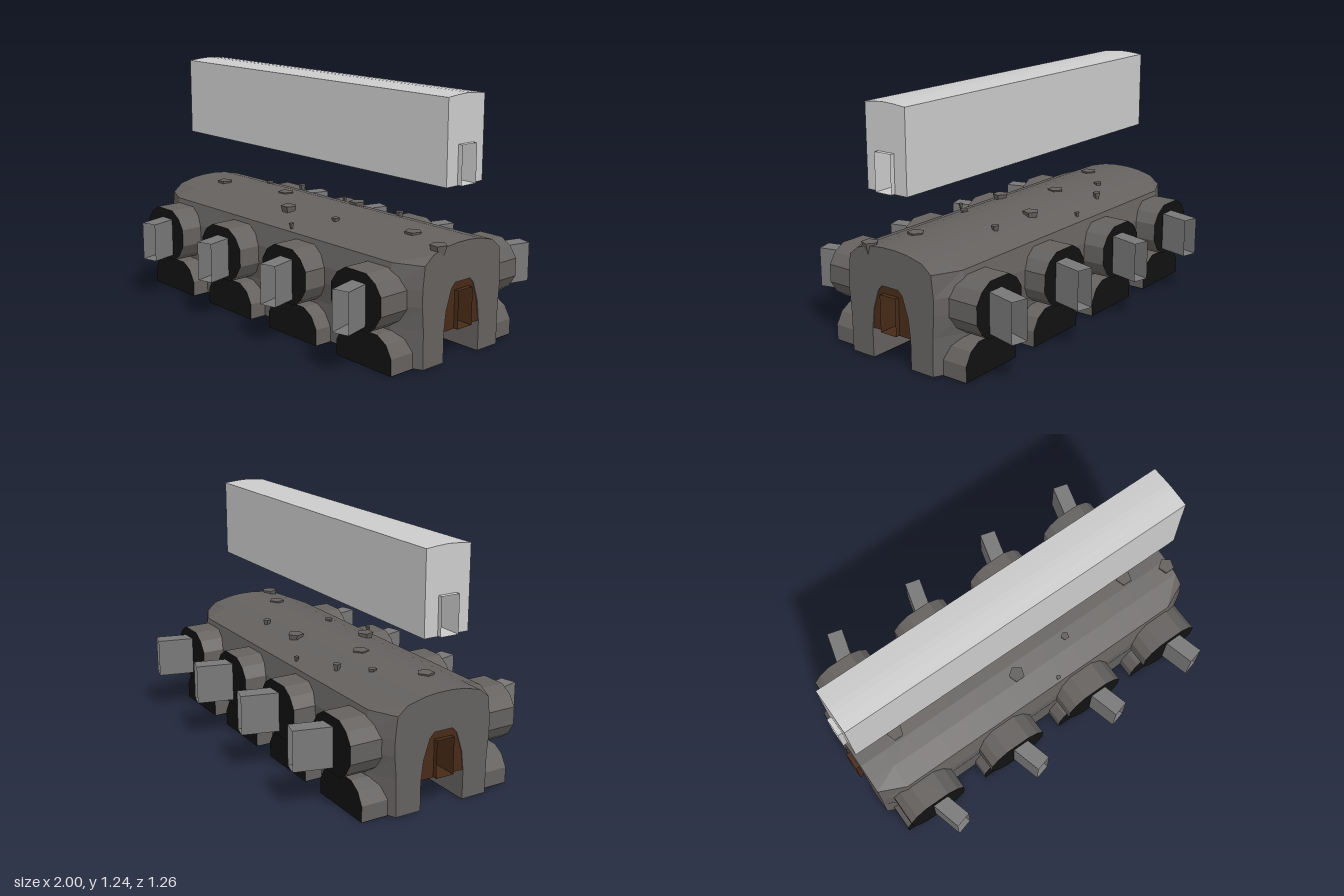
import * as THREE from 'three';

const mat = (color, extra = {}) => new THREE.MeshStandardMaterial({ color, flatShading: true, ...extra });
const MID = 0.0135; // centre line of the hull in z

export function createModel() {
  const root = new THREE.Group();
  const stone = mat(0x64615f);
  const black = mat(0x111111);
  const brown = mat(0x472a17);
  const pale = mat(0xcccccc);
  const steel = mat(0x787878, { side: THREE.DoubleSide });
  const brownThin = mat(0x472a17, { side: THREE.DoubleSide });
  const paleThin = mat(0xcccccc, { side: THREE.DoubleSide });

  const add = (name, geo, material, parent = root) => {
    const m = new THREE.Mesh(geo, material);
    m.name = name;
    parent.add(m);
    return m;
  };
  const toShape = (pts) => new THREE.Shape(pts.map(([a, b]) => new THREE.Vector2(a, b)));
  // mirrors half of an outline [a, y] to the other side
  const mirror = (half) => [...half, ...half.slice().reverse().map(([a, y]) => [-a, y])];
  // extrudes a (z, y) section along x, centred on x = 0
  const alongX = (shape, length, steps = 1) =>
    new THREE.ExtrudeGeometry(shape, { depth: length, steps, bevelEnabled: false })
      .translate(0, 0, -length / 2).rotateY(Math.PI / 2);
  // thin rectangular sleeve along z, open at both ends
  const sleeve = (w, h, length) =>
    new THREE.CylinderGeometry(Math.SQRT1_2, Math.SQRT1_2, length, 4, 1, true)
      .rotateY(Math.PI / 4).rotateX(Math.PI / 2).scale(w, h, 1);

  // hull: vaulted section with an arched channel, tapered at both ends
  const hullHalf = [[0.12, 0.002], [0.32, 0.002], [0.325, 0.19], [0.345, 0.3], [0.345, 0.38],
    [0.318, 0.49], [0.2, 0.533], [0.11, 0.555], [0.04, 0.562]];
  const archHalf = [[0.05, 0.375], [0.075, 0.35], [0.108, 0.25], [0.12, 0.15]];
  const outline = [...hullHalf, ...hullHalf.slice().reverse().map(([a, y]) => [-a, y]),
    ...archHalf.slice().reverse().map(([a, y]) => [-a, y]), ...archHalf];
  const hullGeo = alongX(toShape(outline), 1.96, 14);
  const p = hullGeo.attributes.position;
  for (let i = 0; i < p.count; i++) {
    const d = Math.abs(p.getZ(i));
    if (Math.abs(p.getX(i)) > 0.97 && d > 0.2) {
      p.setZ(i, Math.sign(p.getZ(i)) * (0.2 + (d - 0.2) * 0.45));
    }
  }
  hullGeo.computeVertexNormals();
  add('hull', hullGeo, stone).position.z = MID;

  // dark soles under both halves of the hull
  for (const s of [-1, 1]) {
    add('sole', new THREE.BoxGeometry(1.94, 0.002, 0.13), black).position.set(0, 0.001, MID + s * 0.185);
    add('soleEdge', new THREE.BoxGeometry(1.7, 0.002, 0.07), black).position.set(0, 0.001, MID + s * 0.285);
  }

  // doorway opening shared by the passage and the upper block
  const doorHole = (y0) => new THREE.Path([[-0.048, y0 + 0.002], [0.048, y0 + 0.002],
    [0.048, y0 + 0.188], [-0.048, y0 + 0.188]].map(([a, y]) => new THREE.Vector2(a, y)));
  const hollowBlock = (name, half, y0, z, material, thin) => {
    const shape = toShape(mirror(half));
    shape.holes.push(doorHole(y0));
    add(name, alongX(shape, 1.95), material).position.z = z;
    const liner = add(name + 'DoorLiner', sleeve(0.096, 0.186, 2).rotateY(Math.PI / 2), thin);
    liner.position.set(0, y0 + 0.095, z);
  };
  hollowBlock('passage', [...archHalf].reverse(), 0.15, MID, brown, brownThin);
  hollowBlock('upperBlock', [[0.12, 0.825], [0.12, 1.229], [0.06, 1.235], [0.015, 1.238]],
    0.825, 0.015, pale, paleThin);

  // turrets, feet and gun ports on both long sides
  const turretShape = toShape([[0.075, -0.135], [0.125, -0.1], [0.1625, -0.04], [0.1625, 0.05],
    [0.125, 0.105], [0.068, 0.14], [-0.068, 0.14], [-0.125, 0.105], [-0.1625, 0.05],
    [-0.1625, -0.04], [-0.125, -0.1], [-0.075, -0.135]]);
  const footShape = toShape(mirror([[0.18, 0.002], [0.18, 0.08], [0.145, 0.14], [0.09, 0.172]]));
  const stub = (shape, length) =>
    new THREE.ExtrudeGeometry(shape, { depth: length, bevelEnabled: false });
  const turretGeo = stub(turretShape, 0.2);
  const footGeo = stub(footShape, 0.18);
  const gunGeos = { '1': sleeve(0.085, 0.2, 0.23), '-1': sleeve(0.085, 0.2, 0.29) };
  for (const s of [1, -1]) {
    for (const x of [-0.76, -0.255, 0.25, 0.755]) {
      const station = new THREE.Group();
      station.name = s > 0 ? 'frontGunStation' : 'backGunStation';
      station.position.x = x;
      root.add(station);

      const turret = add('turret', turretGeo, [black, stone], station);
      turret.position.set(0, 0.325, MID + s * 0.2625);
      const foot = add('foot', footGeo, [black, stone], station);
      foot.position.set(0, 0, MID + s * 0.232);
      turret.rotation.y = foot.rotation.y = s > 0 ? 0 : Math.PI;
      add('footSole', new THREE.BoxGeometry(0.36, 0.002, 0.18), black, station)
        .position.set(0, 0.001, MID + s * 0.322);

      // hollow gun, yawed towards the model's left
      const yaw = THREE.MathUtils.degToRad(15);
      const len = s > 0 ? 0.23 : 0.29;
      const gun = add('gun', gunGeos[s], steel, station);
      gun.rotation.y = s * yaw;
      gun.position.set(Math.sin(yaw) * len / 2, 0.316,
        (s > 0 ? 0.4 : -0.34) + s * Math.cos(yaw) * len / 2);
    }
  }

  // five-sided studs on the roof: x, z, radius, top height
  const studs = [[-0.56, -0.1, 0.022, 0.566], [-0.4, -0.2, 0.022, 0.56], [-0.12, -0.265, 0.014, 0.527],
    [0.11, -0.14, 0.043, 0.566], [0.41, -0.15, 0.022, 0.566], [-0.055, 0.185, 0.043, 0.566],
    [0.275, 0.16, 0.022, 0.56], [0.12, 0.315, 0.014, 0.528], [0.955, 0.155, 0.043, 0.566],
    [-0.74, 0.08, 0.043, 0.569], [0.725, 0.08, 0.043, 0.569], [-0.3, 0, 0.043, 0.569]];
  for (const [x, z, r, top] of studs) {
    const h = r * 2.1;
    const stud = add('roofStud', new THREE.CylinderGeometry(r, r * 0.4, h, 5), stone);
    stud.position.set(x, top - h / 2, z);
    stud.rotation.y = Math.PI;
  }
  return root;
}
